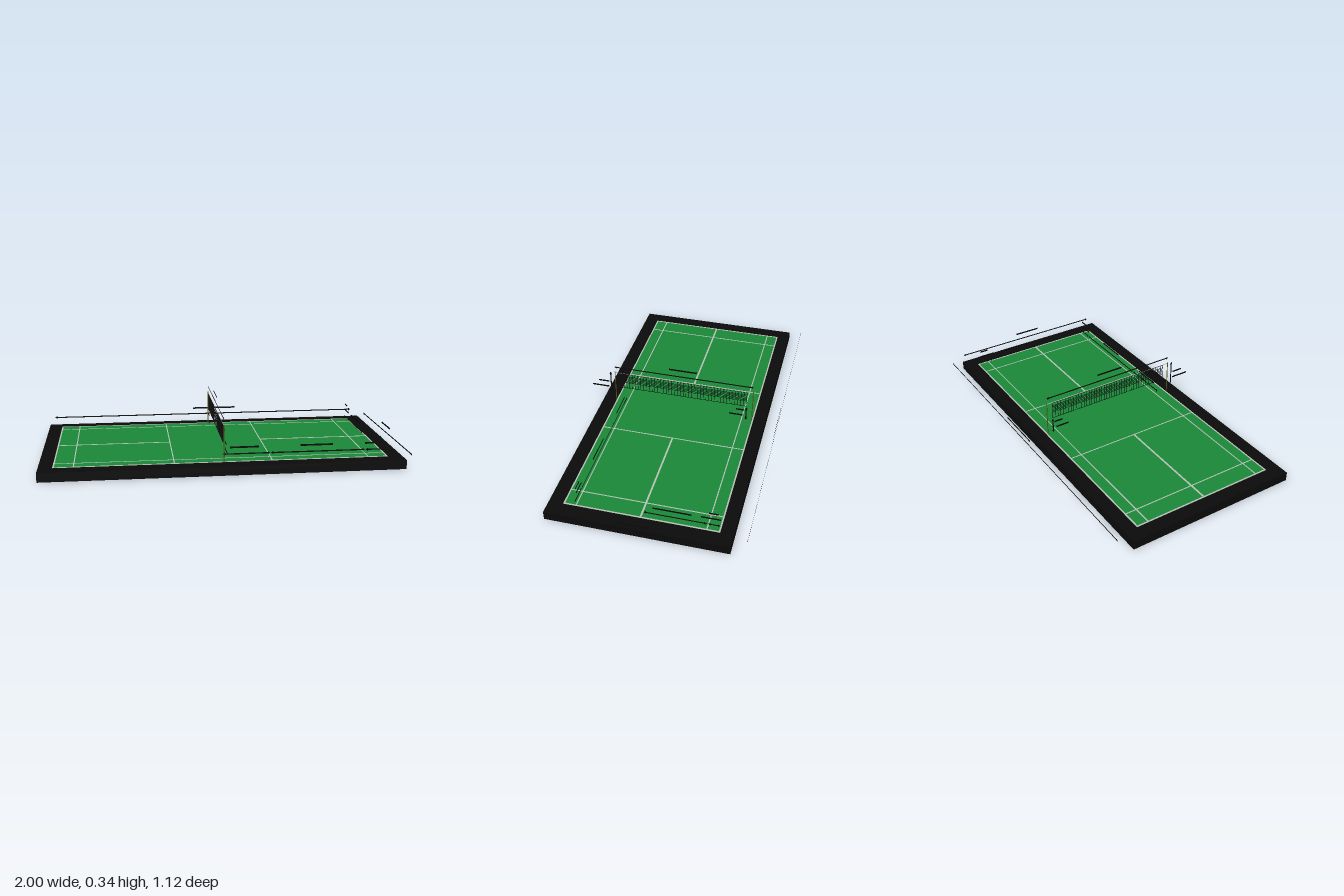
import * as THREE from 'three';

const material = (color, side = THREE.FrontSide) => new THREE.MeshStandardMaterial({ color, side });
const BLACK = material(0x0b0b0b);
const INK = material(0x080808, THREE.DoubleSide);
const GREEN = material(0x1a8a38);
const PAINT = material(0xb8c4b8);
const OLIVE = material(0x5c5a14);
const TAPE = material(0x8a8a8a);

const TOP = 0.05;      // ground surface
const NET_X = -0.02;   // plane of the net

export function createModel() {
  const model = new THREE.Group();

  function box(parent, name, mat, size, position) {
    const mesh = new THREE.Mesh(new THREE.BoxGeometry(...size), mat);
    mesh.name = name;
    mesh.position.set(...position);
    parent.add(mesh);
    return mesh;
  }
  function group(name) {
    const g = new THREE.Group();
    g.name = name;
    model.add(g);
    return g;
  }

  // Base slab and playing surface
  box(model, 'baseSlab', BLACK, [1.965, TOP, 0.976], [-0.0175, TOP / 2, 0.0045]);
  box(model, 'courtSurface', GREEN, [1.8, 0.002, 0.82], [NET_X, TOP, 0]);

  // Painted court lines
  const lines = group('courtLines');
  const lineY = TOP + 0.0012;
  for (const s of [-1, 1]) {
    box(lines, 'sideLine', PAINT, [1.808, 0.002, 0.008], [NET_X, lineY, s * 0.41]);
    box(lines, 'innerSideLine', PAINT, [1.8, 0.002, 0.006], [NET_X, lineY, s * 0.345]);
    box(lines, 'baseLine', PAINT, [0.008, 0.002, 0.82], [NET_X + s * 0.9, lineY, 0]);
    box(lines, 'longServiceLine', PAINT, [0.006, 0.002, 0.82], [NET_X + s * 0.795, lineY, 0]);
    box(lines, 'shortServiceLine', PAINT, [0.006, 0.002, 0.82], [NET_X + s * 0.264, lineY, 0]);
    box(lines, 'centreLine', PAINT, [0.636, 0.002, 0.01], [NET_X + s * 0.582, lineY, 0]);
  }

  // Net posts and top cord
  const net = group('net');
  for (const z of [0.415, -0.405]) {
    const post = new THREE.Mesh(new THREE.CylinderGeometry(0.0025, 0.0025, 0.205, 8), OLIVE);
    post.name = 'netPost';
    post.position.set(NET_X, TOP + 0.1025, z);
    net.add(post);
  }
  box(net, 'topCord', TAPE, [0.0015, 0.0015, 0.82], [NET_X, 0.25, 0.005]);

  // Net mesh
  const netFront = 0.38, netBack = -0.37, columns = 44;
  for (const y of [0.248, 0.231, 0.223, 0.214, 0.205, 0.196, 0.187, 0.15]) {
    box(net, 'netStrand', INK, [0.0015, 0.002, netFront - netBack], [NET_X, y, (netFront + netBack) / 2]);
  }
  for (let i = 0; i <= columns; i++) {
    const z = THREE.MathUtils.lerp(netFront, netBack, i / columns);
    box(net, 'netCord', INK, [0.0015, 0.098, 0.0018], [NET_X, 0.199, z]);
  }

  // Flat double-headed arrow of a given length, centred on its middle
  function arrowGeometry(length) {
    const h = length / 2, head = Math.min(0.014, length / 4), t = 0.0035, w = 0.009;
    const points = [[-h, 0], [-h + head, w], [-h + head, t], [h - head, t], [h - head, w],
      [h, 0], [h - head, -w], [h - head, -t], [-h + head, -t], [-h + head, -w]];
    return new THREE.ShapeGeometry(new THREE.Shape(points.map(p => new THREE.Vector2(...p))));
  }

  // Measuring arrows with plain bars marking the label positions
  const marks = group('measuringArrows');
  function arrow(name, axis, from, to, position) {
    const mesh = new THREE.Mesh(arrowGeometry(Math.abs(to - from)), INK);
    mesh.name = name;
    mesh.position.set(...position);
    mesh.position[axis] = (from + to) / 2;
    if (axis === 'z') mesh.rotation.y = -Math.PI / 2;
    if (axis === 'y') mesh.rotation.set(0, -Math.PI / 2, Math.PI / 2);
    marks.add(mesh);
  }
  function bar(axis, from, to, position) {
    const mesh = new THREE.Mesh(new THREE.PlaneGeometry(Math.abs(to - from), 0.01), INK);
    mesh.name = 'labelBar';
    mesh.position.set(...position);
    mesh.position[axis] = (from + to) / 2;
    if (axis === 'z') mesh.rotation.y = -Math.PI / 2;
    marks.add(mesh);
  }

  // Along the court
  arrow('courtLengthArrow', 'x', -0.978, 0.94, [0, 0.075, -0.56]);
  bar('x', -0.1, 0.17, [0, 0.112, -0.56]);
  arrow('frontServiceArrow', 'x', NET_X, 0.243, [0, 0.075, 0.35]);
  bar('x', 0.02, 0.18, [0, 0.112, 0.35]);
  arrow('serviceCourtArrow', 'x', 0.246, 0.772, [0, 0.075, 0.35]);
  bar('x', 0.41, 0.59, [0, 0.112, 0.35]);
  arrow('backServiceArrow', 'x', 0.775, 0.88, [0, 0.075, 0.35]);
  bar('x', 0.8, 0.86, [0, 0.145, 0.35]);
  bar('x', 0.77, 0.85, [0, 0.112, 0.35]);

  // Across the court
  arrow('courtWidthArrow', 'z', 0.47, -0.46, [1, 0.072, 0]);
  bar('z', 0.085, -0.075, [1, 0.112, 0]);
  arrow('halfCourtArrow', 'z', -0.01, -0.342, [0.86, 0.072, 0]);
  bar('z', -0.06, -0.26, [0.86, 0.112, 0]);
  arrow('sideAlleyArrow', 'z', -0.345, -0.41, [0.86, 0.072, 0]);
  bar('z', -0.35, -0.4, [0.86, 0.148, 0]);
  bar('z', -0.31, -0.41, [0.86, 0.114, 0]);

  // Around the net
  arrow('netWidthArrow', 'z', 0.418, -0.406, [NET_X, 0.288, 0]);
  bar('z', 0.087, -0.075, [NET_X, 0.33, 0]);
  arrow('netHeightArrow', 'y', 0.052, 0.25, [NET_X, 0, 0.443]);
  bar('z', 0.52, 0.455, [NET_X, 0.18, 0]);
  bar('z', 0.56, 0.455, [NET_X, 0.143, 0]);
  arrow('netGapArrow', 'y', 0.052, 0.142, [NET_X, 0, -0.37]);
  bar('z', -0.31, -0.36, [NET_X, 0.12, 0]);
  bar('z', -0.27, -0.35, [NET_X, 0.082, 0]);

  return model;
}
